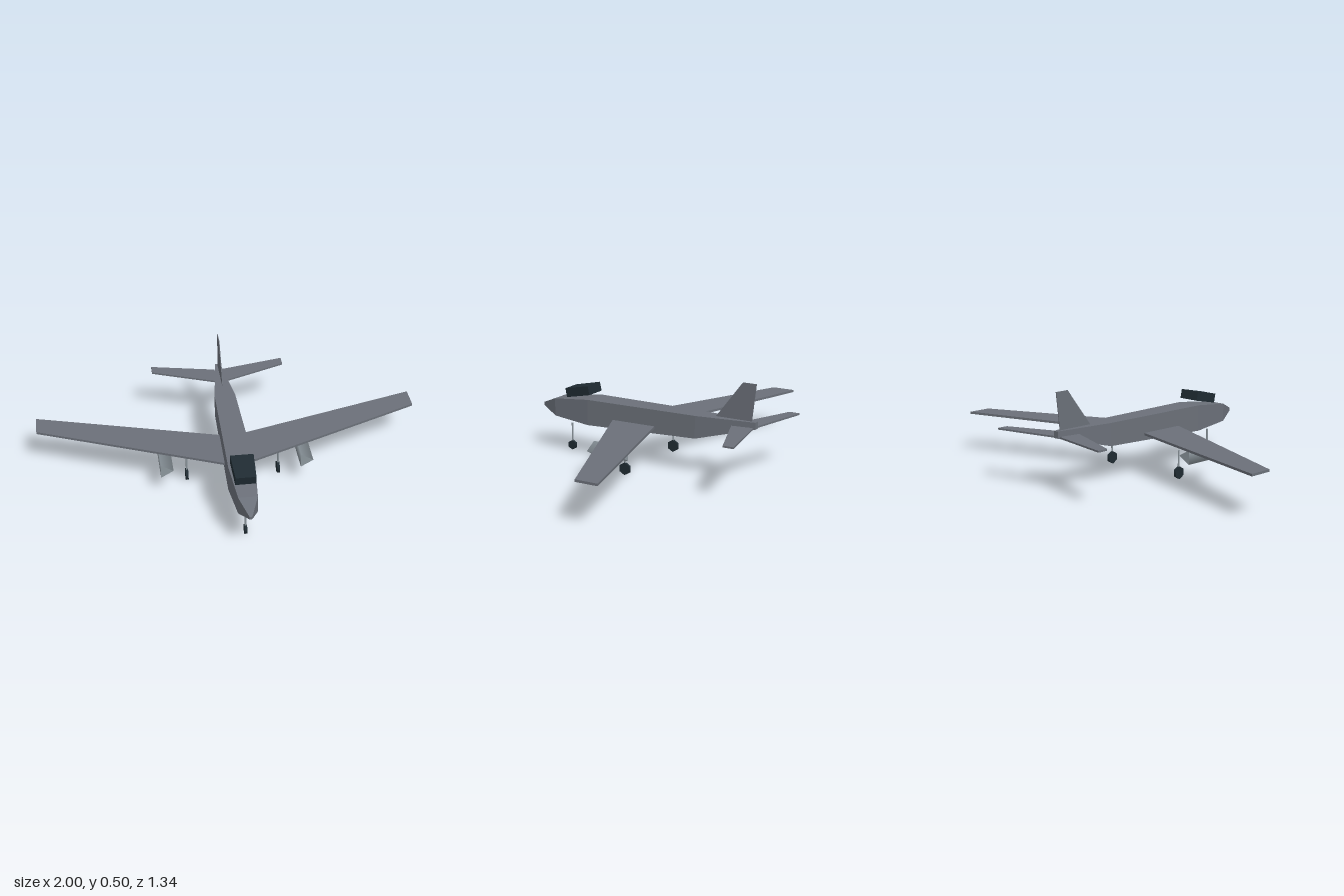
import * as THREE from 'three';

const mat = (name, color, flatShading = false) => {
  const m = new THREE.MeshStandardMaterial({ color, flatShading });
  m.name = name;
  return m;
};

// Skin a list of four-cornered rings (counter-clockwise seen from the end the loft travels towards) and cap both ends
function loft(rings) {
  const pos = [];
  const quad = (a, b, c, d) => [a, b, c, a, c, d].forEach((p) => pos.push(...p));
  for (let i = 0; i < rings.length - 1; i++) {
    for (let j = 0; j < 4; j++) {
      const k = (j + 1) % 4;
      quad(rings[i][j], rings[i][k], rings[i + 1][k], rings[i + 1][j]);
    }
  }
  const first = rings[0], last = rings[rings.length - 1];
  quad(first[3], first[2], first[1], first[0]);
  quad(last[0], last[1], last[2], last[3]);
  const g = new THREE.BufferGeometry();
  g.setAttribute('position', new THREE.Float32BufferAttribute(pos, 3));
  g.computeVertexNormals();
  return g;
}

// Swept flat panel; side = 1 or -1, z values are leading and trailing edges
function panel(side, y, thickness, root, tip) {
  const ring = ([x, lead, trail]) => {
    const a = y - thickness / 2, b = y + thickness / 2;
    const r = [[side * x, a, lead], [side * x, a, trail], [side * x, b, trail], [side * x, b, lead]];
    return side > 0 ? r : r.reverse();
  };
  return loft([ring(root), ring(tip)]);
}

export function createModel() {
  const model = new THREE.Group();
  model.name = 'aeroplane';
  const skin = mat('greySkin', 0x6b7079);
  const dark = mat('darkGlassAndRubber', 0x1f2b32);
  const metal = mat('lightMetal', 0x8d979e);

  const add = (name, geometry, material, x = 0, y = 0, z = 0) => {
    const mesh = new THREE.Mesh(geometry, material);
    mesh.name = name;
    mesh.position.set(x, y, z);
    model.add(mesh);
    return mesh;
  };

  // Fuselage: z, half width, bottom, top, from tail to nose
  const stations = [
    [-0.605, 0.014, 0.273, 0.309],
    [-0.287, 0.055, 0.191, 0.309],
    [0.35, 0.067, 0.172, 0.309],
    [0.57, 0.048, 0.19, 0.284],
    [0.67, 0.007, 0.227, 0.242],
  ];
  add('fuselage', loft(stations.map(([z, w, lo, hi]) =>
    [[-w, lo, z], [w, lo, z], [w, hi, z], [-w, hi, z]])), skin);

  // Canopy: tilted block, narrower at the front
  const canopy = add('canopy', loft([[-0.075, 0.058], [0.075, 0.051]].map(([z, w]) =>
    [[-w, -0.024, z], [w, -0.024, z], [w, 0.024, z], [-w, 0.024, z]])), dark, 0, 0.341, 0.422);
  canopy.rotation.x = 0.21;

  // Fin: very thin upright sheet
  const finShape = new THREE.Shape([[0.375, 0.305], [0.578, 0.305], [0.601, 0.5], [0.526, 0.5]]
    .map(([u, v]) => new THREE.Vector2(u, v)));
  const fin = new THREE.ExtrudeGeometry(finShape, { depth: 0.004, bevelEnabled: false });
  fin.translate(0, 0, -0.002).rotateY(Math.PI / 2);
  add('fin', fin, skin);

  // Undercarriage leg with a six-sided wheel
  const leg = (name, x, z, radius) => {
    add(name + 'Strut', new THREE.CylinderGeometry(0.005, 0.005, 0.15 - radius, 6), metal,
      x, (0.15 + radius) / 2, z);
    const wheel = new THREE.CylinderGeometry(radius, radius, 0.014, 6);
    wheel.rotateZ(Math.PI / 2).rotateX(Math.PI / 6);
    add(name + 'Wheel', wheel, dark, x, radius + 0.002, z);
  };
  leg('nose', 0, 0.493, 0.026);

  for (const side of [1, -1]) {
    const label = side > 0 ? 'left' : 'right';
    add(label + 'Wing', panel(side, 0.216, 0.012, [0.055, 0.2, -0.052], [1, -0.205, -0.328]), skin);
    add(label + 'Tailplane', panel(side, 0.276, 0.009, [0.018, -0.475, -0.594], [0.36, -0.61, -0.667]), skin);

    // Three-sided engine pod, both with an edge towards +x
    const pod = new THREE.CylinderGeometry(0.043, 0.043, 0.2, 3, 1, false, Math.PI / 2);
    pod.rotateX(Math.PI / 2);
    add(label + 'Engine', pod, metal, side * 0.361, 0.15, 0.03);

    leg(label + 'Main', side * 0.24, 0.01, 0.033);
  }
  return model;
}
